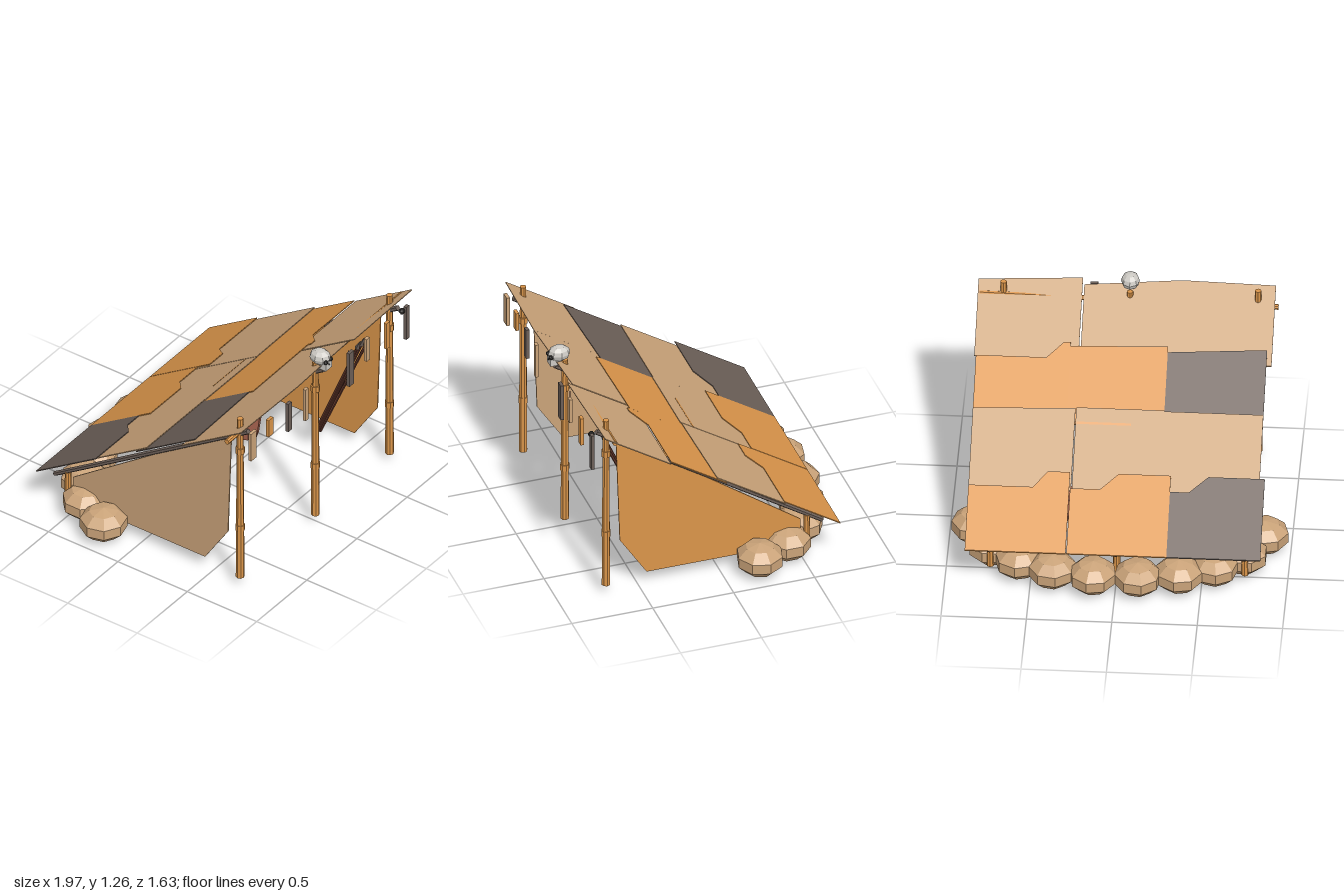
import * as THREE from 'three';

const mat = (name, color, side = THREE.FrontSide) => {
  const m = new THREE.MeshStandardMaterial({ color, side });
  m.name = name;
  return m;
};

// faceted normals for the low-poly look
const facet = (geo) => {
  const g = geo.index ? geo.toNonIndexed() : geo;
  g.computeVertexNormals();
  return g;
};

export function createModel() {
  const model = new THREE.Group();
  model.name = 'leanToShelter';
  const orange = mat('orangeHide', 0xda954a);
  const tan = mat('tanHide', 0xcaa379);
  const dark = mat('darkHide', 0x6c5f58);
  const clay = mat('redClay', 0xa5624e);
  const wood = mat('darkRedWood', 0x64382c);
  const bone = mat('bone', 0xcdcac4);
  const black = mat('black', 0x2a2826);

  const add = (name, geo, material, x = 0, y = 0, z = 0, parent = model) => {
    const mesh = new THREE.Mesh(facet(geo), material);
    mesh.name = name;
    mesh.position.set(x, y, z);
    parent.add(mesh);
    return mesh;
  };
  // straight rod between two points
  const rod = (name, a, b, r0, r1, material, sides = 8) => {
    const p = new THREE.Vector3(...a), q = new THREE.Vector3(...b);
    const d = q.clone().sub(p);
    const mesh = add(name, new THREE.CylinderGeometry(r1, r0, d.length(), sides), material);
    mesh.position.copy(p).add(q).multiplyScalar(0.5);
    mesh.quaternion.setFromUnitVectors(new THREE.Vector3(0, 1, 0), d.normalize());
    return mesh;
  };

  // roof sheets: overlapping rows, each with a cut or straight front edge
  const roofY = (z) => 0.69 + 0.615 * z;
  const sheet = (x0, x1, zBack, zl, zr, material, cut) => {
    const w = x1 - x0;
    const front = cut
      ? [[x0, zl], [x0 + cut[0] * w, zl], [x0 + cut[1] * w, zl - 0.085], [x1, zl - 0.085]]
      : [[x0, zl], [x1, zr]];
    const pts = [...front, [x1, zBack], [x0, zBack]].map(([x, z]) => new THREE.Vector2(x, -z));
    const geo = new THREE.ExtrudeGeometry(new THREE.Shape(pts), { depth: 0.007, bevelEnabled: false });
    geo.rotateX(-Math.PI / 2);
    const p = geo.attributes.position;
    for (let i = 0; i < p.count; i++) {
      const z = p.getZ(i);
      const lift = 0.013 * (z - zBack) / (zl - zBack);
      p.setY(i, p.getY(i) + roofY(z) + lift);
    }
    add('roofSheet', geo, material);
  };
  sheet(-0.85, -0.3, 0.35, 0.775, 0.785, tan);
  sheet(-0.3, 0.27, 0.35, 0.785, 0.745, tan);
  sheet(0.28, 0.89, 0.35, 0.78, 0.755, tan);
  sheet(-0.82, -0.24, 0, 0.425, 0.395, dark);
  sheet(-0.24, 0.33, 0, 0.425, 0.41, orange);
  sheet(0.33, 0.88, 0, 0.43, 0.43, orange, [0.07, 0.25]);
  sheet(-0.82, -0.24, -0.36, 0.075, 0.075, tan);
  sheet(-0.24, 0.275, -0.36, 0.08, 0.08, tan);
  sheet(0.28, 0.88, -0.36, 0.075, 0.06, tan);
  sheet(-0.85, -0.3, -0.7, -0.27, -0.27, dark, [0.6, 0.8]);
  sheet(-0.3, 0.285, -0.7, -0.27, -0.27, orange, [0.52, 0.7]);
  sheet(0.29, 0.88, -0.7, -0.27, -0.27, orange, [0.22, 0.36]);
  // cut-away of the second sheet row, filled from the row behind it
  sheet(-0.05, 0.27, -0.05, 0.004, 0.004, orange);

  // jointed front posts, short back posts and rafters
  for (const [x, top] of [[-0.75, 1.2], [0, 1.16], [0.74, 1.2]]) {
    rod('frontPost', [x, 0.05, 0.7], [x, 0.42, 0.7], 0.026, 0.024, orange);
    rod('frontPost', [x, 0.42, 0.7], [x, 0.97, 0.7], 0.024, 0.021, orange);
    rod('frontPost', [x, 0.97, 0.7], [x, top, 0.7], 0.021, 0.019, orange);
    for (const y of [0.41, 0.97]) {
      add('postJoint', new THREE.CylinderGeometry(0.028, 0.028, 0.04, 8), orange, x, y, 0.7);
    }
    rod('backPost', [x, 0.05, -0.54], [x, 0.27, -0.54], 0.022, 0.019, orange);
    rod('rafter', [x, 1.13, 0.76], [x, 0.215, -0.635], 0.017, 0.015, dark, 6);
  }
  rod('crossbar', [-0.87, 1.095, 0.69], [0.88, 1.12, 0.69], 0.017, 0.015, orange);

  // hanging side walls
  const wallPts = [[0.64, 1.07], [0.615, 0.34], [0.45, 0.085], [-0.5, 0.085], [-0.5, 0.25]];
  for (const [x, material] of [[-0.75, tan], [0.74, orange]]) {
    const shape = new THREE.Shape(wallPts.map(([z, y]) => new THREE.Vector2(-z, y)));
    const geo = new THREE.ExtrudeGeometry(shape, { depth: 0.008, bevelEnabled: false });
    geo.translate(0, 0, -0.004).rotateY(Math.PI / 2);
    add('sideWall', geo, material, x);
  }

  // curved row of boulders around the back
  for (const [x, z] of [[0.13, -0.68], [0.37, -0.635], [0.57, -0.55], [0.735, -0.42], [0.845, -0.215]]) {
    for (const s of [-1, 1]) {
      const geo = new THREE.SphereGeometry(1, 8, 5).scale(0.15, 0.103, 0.145);
      add('boulder', geo, tan, s * x, 0.104, z).rotation.y = s * Math.atan2(-z - 0.1, x);
    }
  }

  // bed
  add('bedBase', new THREE.SphereGeometry(1, 8, 4).scale(0.26, 0.032, 0.17), tan, -0.33, 0.103, -0.15);
  add('bedCover', new THREE.SphereGeometry(1, 8, 4).scale(0.21, 0.026, 0.135), orange, -0.3, 0.147, -0.15);

  // clay pot
  const potProfile = [[0, 0.085], [0.08, 0.085], [0.1, 0.23], [0.1, 0.25], [0.066, 0.268], [0.072, 0.288],
    [0.055, 0.288], [0.05, 0.26], [0, 0.25]].map(([r, y]) => new THREE.Vector2(r, y));
  add('pot', new THREE.LatheGeometry(potProfile, 8), clay, 0.37, 0, -0.07);

  // leaning spears
  for (const [xb, xt, yt] of [[0.57, 0.5, 0.93], [0.61, 0.54, 0.93], [0.645, 0.585, 0.9]]) {
    rod('spearShaft', [xb, 0.08, 0.27], [xt, yt, 0.64], 0.01, 0.009, wood, 6);
    rod('spearTip', [xt, yt, 0.64], [xt - 0.007, yt + 0.07, 0.67], 0.016, 0.001, dark, 4);
  }

  // hide strips hung along the front edge: x, width, top, bottom
  for (const [x, w, top, bottom, m] of [
    [-0.76, 0.055, 1.15, 0.955, tan], [-0.59, 0.045, 1.145, 1.025, orange],
    [-0.4, 0.035, 1.145, 0.945, dark], [-0.23, 0.03, 1.145, 0.92, tan],
    [0.215, 0.045, 1.145, 0.905, dark], [0.38, 0.03, 1.145, 0.985, tan],
    [0.58, 0.035, 1.14, 0.955, orange], [0.775, 0.03, 1.14, 0.905, dark]]) {
    add('hangingStrip', new THREE.BoxGeometry(w, top - bottom, 0.02), m, x, (top + bottom) / 2, 0.797);
  }
  add('knot', new THREE.SphereGeometry(0.02, 6, 5), black, 0.74, 1.12, 0.79);

  // bead string
  rod('beadCord', [0.255, 0.91, 0.755], [0.255, 1.11, 0.755], 0.004, 0.004, wood, 5);
  [0.915, 0.95, 1.0, 1.045].forEach((y, i) => {
    add('bead', new THREE.SphereGeometry(0.012, 6, 4), i % 2 ? bone : clay, 0.255, y, 0.755);
  });

  // skull on the middle post
  const skull = new THREE.Group();
  skull.name = 'skull';
  skull.position.set(0, 1.215, 0.735);
  model.add(skull);
  add('cranium', new THREE.SphereGeometry(1, 8, 6).scale(0.055, 0.05, 0.068), bone, 0, 0, 0, skull);
  add('jaw', new THREE.BoxGeometry(0.06, 0.05, 0.05), bone, 0, -0.042, 0.038, skull);
  for (const s of [-1, 1]) {
    add('eyeSocket', new THREE.SphereGeometry(0.015, 6, 5), black, s * 0.024, -0.008, 0.058, skull);
  }
  add('noseHole', new THREE.ConeGeometry(0.008, 0.016, 4), black, 0, -0.026, 0.062, skull);
  return model;
}
